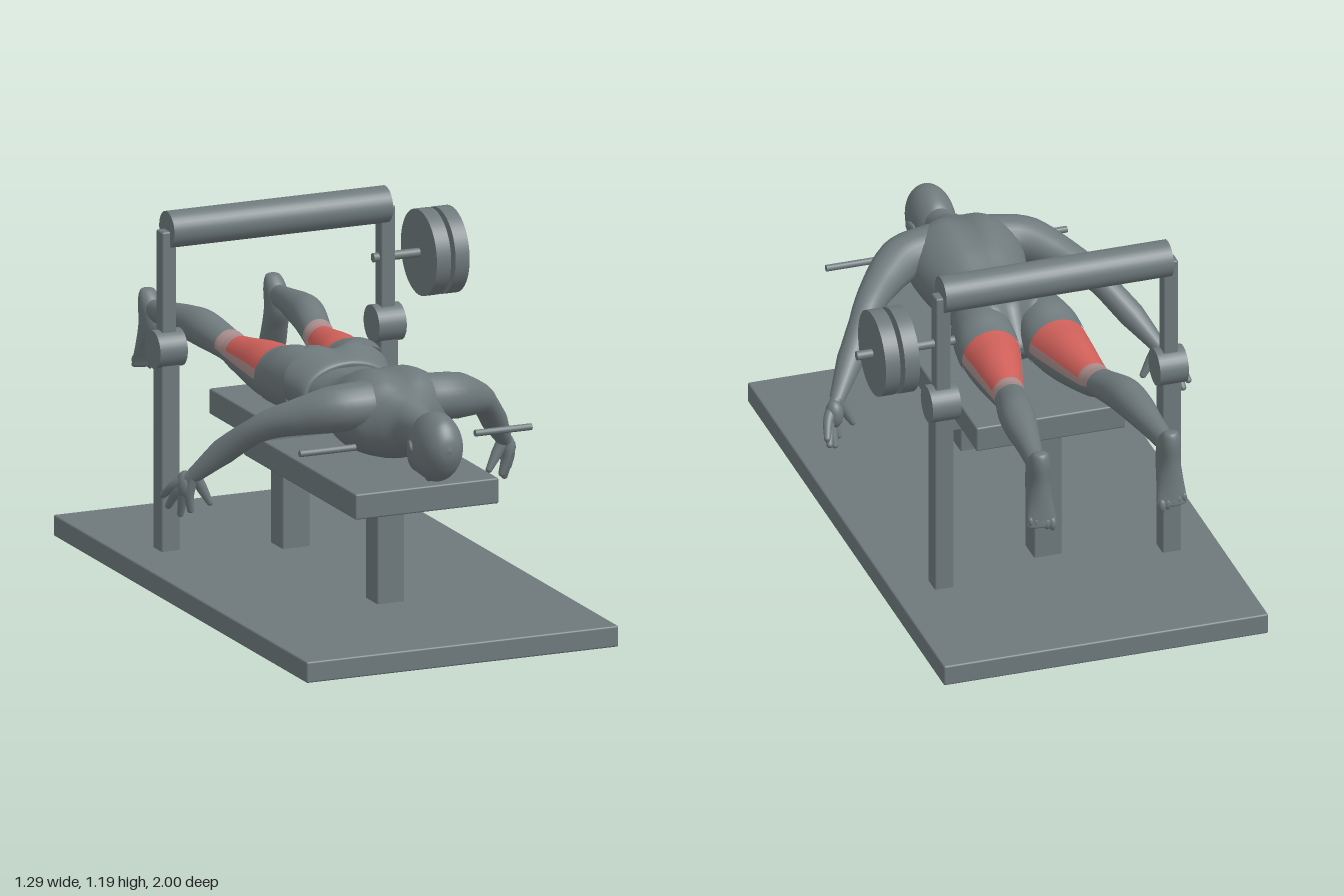
import * as THREE from 'three';
import { RoundedBoxGeometry } from 'three/addons/geometries/RoundedBoxGeometry.js';

const mat = (name, color) => Object.assign(new THREE.MeshStandardMaterial({ color }), { name });
const V = (x, y, z) => new THREE.Vector3(x, y, z);

export function createModel() {
  const grey = mat('slate grey', 0x6e797c);
  const red = mat('muscle red', 0xd0605a);
  const pink = mat('tendon pink', 0xa98c8b);
  const model = new THREE.Group();

  const add = (parent, name, geo, m = grey, pos) => {
    const mesh = new THREE.Mesh(geo, m);
    mesh.name = name;
    if (pos) mesh.position.set(...pos);
    parent.add(mesh);
    return mesh;
  };
  // Box from its x, y and z ranges
  const box = (name, x0, x1, y0, y1, z0, z1, r = 0.006) =>
    add(model, name, new RoundedBoxGeometry(x1 - x0, y1 - y0, z1 - z0, 2, r), grey,
      [(x0 + x1) / 2, (y0 + y1) / 2, (z0 + z1) / 2]);
  // Cylinder lying along x
  const bar = (name, x0, x1, y, z, r, seg = 32) =>
    add(model, name, new THREE.CylinderGeometry(r, r, x1 - x0, seg).rotateZ(Math.PI / 2), grey,
      [(x0 + x1) / 2, y, z]);

  // Smooth skin through sections [x, y, z, radius across, radius deep, groove],
  // running towards -z (or towards -y when down is set)
  function loft(secs, o = {}) {
    const { a0 = 0, a1 = Math.PI * 2, i0 = 0, i1 = secs.length - 1, grow = 0, down = false } = o;
    const path = new THREE.CatmullRomCurve3(secs.map(s => V(s[0], s[1], s[2])), false, 'catmullrom', 0.5);
    const size = new THREE.CatmullRomCurve3(secs.map(s => V(s[3], s[4], s[5] || 0)), false, 'catmullrom', 0.5);
    const closed = a1 - a0 > 6.28, seg = closed ? 48 : 20, cols = closed ? seg : seg + 1;
    const rows = (i1 - i0) * 6, pos = [], idx = [];
    for (let i = 0; i <= rows; i++) {
      const t = (i0 + i / 6) / (secs.length - 1);
      const c = path.getPoint(t), r = size.getPoint(t);
      for (let j = 0; j < cols; j++) {
        const a = a0 + (a1 - a0) * j / seg;
        const u = (r.x + grow) * Math.cos(a);
        let v = (r.y + grow) * Math.sin(a);
        if (Math.sin(a) > 0) v -= r.z * Math.exp(-((u / 0.04) ** 2));
        if (down) pos.push(c.x + u, c.y, c.z - v);
        else pos.push(c.x + u, c.y + v, c.z);
      }
    }
    for (let i = 0; i < rows; i++) for (let j = 0; j < seg; j++) {
      const k = (j + 1) % cols, a = i * cols + j, b = i * cols + k;
      idx.push(a, a + cols, b, b, a + cols, b + cols);
    }
    const g = new THREE.BufferGeometry();
    g.setAttribute('position', new THREE.Float32BufferAttribute(pos, 3));
    g.setIndex(idx);
    g.computeVertexNormals();
    return g;
  }

  // Tube with a radius that changes along its path
  function limb(points, radii, seg = 18) {
    const curve = new THREE.CatmullRomCurve3(points), rows = 30;
    const g = new THREE.TubeGeometry(curve, rows, 1, seg);
    const p = g.attributes.position, v = V(0, 0, 0);
    for (let i = 0; i < p.count; i++) {
      const u = Math.floor(i / (seg + 1)) / rows, f = u * (radii.length - 1);
      const k = Math.min(Math.floor(f), radii.length - 2);
      const r = THREE.MathUtils.lerp(radii[k], radii[k + 1], f - k), c = curve.getPointAt(u);
      v.fromBufferAttribute(p, i).sub(c).multiplyScalar(r).add(c);
      p.setXYZ(i, v.x, v.y, v.z);
    }
    return g;
  }
  const ball = (parent, name, x, y, z, rx, ry = rx, rz = rx) =>
    add(parent, name, new THREE.SphereGeometry(1, 20, 14).scale(rx, ry, rz), grey, [x, y, z]);

  // Floor plate, bench pads and pedestals
  box('floorPlate', -0.57, 0.525, 0, 0.07, -0.98, 1);
  box('benchPad', -0.275, 0.228, 0.44, 0.525, -0.15, 0.725);
  box('hipPad', -0.275, 0.228, 0.51, 0.595, -0.42, 0.01);
  box('frontPedestal', -0.073, 0.023, 0.065, 0.45, 0.352, 0.445);
  box('rearPedestal', -0.073, 0.023, 0.065, 0.52, -0.39, -0.295);

  // Lever frame with pivots, roller and weights
  const fz = -0.455;
  for (const [side, x] of [['right', -0.409], ['left', 0.359]]) {
    box(side + 'Upright', x - 0.032, x + 0.032, 0.065, 0.735, fz - 0.035, fz + 0.035);
    bar(side + 'Pivot', x - 0.048, x + 0.048, 0.735, fz, 0.062);
    box(side + 'LeverArm', x - 0.025, x + 0.025, 0.735, 1.125, fz - 0.025, fz + 0.025);
  }
  bar('roller', -0.407, 0.36, 1.127, fz, 0.06);
  bar('weightBar', 0.315, 0.645, 0.953, fz, 0.015, 20);
  bar('innerWeight', 0.477, 0.527, 0.953, fz, 0.141, 48);
  bar('outerWeight', 0.543, 0.592, 0.953, fz, 0.141, 48);
  bar('rightHandle', -0.43, -0.235, 0.655, 0.633, 0.011, 16);
  bar('leftHandle', 0.185, 0.383, 0.655, 0.633, 0.011, 16);

  // Figure lying face down
  const body = new THREE.Group();
  body.name = 'figure';
  body.position.x = -0.025;
  model.add(body);
  // Central section from z, half width, bottom and top
  const mid = ([z, w, b, t, g]) => [0, (b + t) / 2, z, w, (t - b) / 2, g];

  add(body, 'torso', loft([
    [0.74, 0.05, 0.64, 0.755], [0.67, 0.055, 0.63, 0.765], [0.62, 0.07, 0.615, 0.79, 0.004],
    [0.575, 0.115, 0.59, 0.815, 0.01], [0.525, 0.17, 0.57, 0.845, 0.024], [0.47, 0.192, 0.56, 0.858, 0.028],
    [0.4, 0.187, 0.55, 0.852, 0.022], [0.32, 0.168, 0.545, 0.828, 0.014], [0.22, 0.146, 0.56, 0.788, 0.012],
    [0.14, 0.145, 0.585, 0.775, 0.008], [0.06, 0.15, 0.6, 0.775]].map(mid)));
  add(body, 'shortsSeat', loft([
    [0.114, 0.135, 0.6, 0.765], [0.11, 0.158, 0.592, 0.787], [0.05, 0.177, 0.592, 0.812, 0.008],
    [-0.01, 0.192, 0.595, 0.828, 0.03], [-0.06, 0.17, 0.61, 0.805, 0.06], [-0.1, 0.08, 0.65, 0.72, 0.02],
    [-0.11, 0.001, 0.68, 0.682]].map(mid)));

  // Head with ears and nose
  add(body, 'head', loft([
    [0.907, 0.001, 0.684, 0.686], [0.897, 0.036, 0.64, 0.73], [0.865, 0.064, 0.59, 0.772],
    [0.81, 0.077, 0.562, 0.79], [0.75, 0.073, 0.562, 0.778], [0.705, 0.06, 0.563, 0.745],
    [0.675, 0.042, 0.566, 0.66], [0.662, 0.001, 0.605, 0.607]].map(mid)));
  add(body, 'nose', new THREE.ConeGeometry(0.014, 0.045, 12).rotateX(Math.PI / 2), grey, [0, 0.56, 0.765]);

  for (const s of [-1, 1]) {
    const side = s < 0 ? 'right' : 'left';
    const S = (x, y, z) => V(s * x, y, z);
    ball(body, side + 'Ear', s * 0.077, 0.675, 0.765, 0.009, 0.02, 0.028).rotation.y = s * 0.3;

    // Arm hanging out and down, then the spread hand
    add(body, side + 'Arm', limb(
      [S(0.09, 0.75, 0.49), S(0.2, 0.742, 0.47), S(0.29, 0.712, 0.405), S(0.38, 0.665, 0.31),
        S(0.46, 0.58, 0.21), S(0.545, 0.47, 0.115)],
      [0.08, 0.075, 0.056, 0.042, 0.043, 0.025]));
    ball(body, side + 'Shoulder', s * 0.21, 0.735, 0.465, 0.075, 0.066, 0.07);
    ball(body, side + 'Palm', s * 0.562, 0.435, 0.09, 0.03, 0.048, 0.032);
    const wrist = S(0.543, 0.475, 0.118);
    [[0.609, 0.39, 0.02], [0.596, 0.357, 0.035], [0.568, 0.335, 0.066], [0.546, 0.352, 0.095],
      [0.49, 0.377, 0.12]].forEach((q, i) => {
      const tip = S(...q), knuckle = wrist.clone().lerp(tip, 0.5);
      if (i < 4) knuckle.x += s * 0.012;
      add(body, side + 'Finger' + (i + 1), limb([wrist, knuckle, tip], [0.02, 0.018, 0.011], 12));
      ball(body, side + 'Fingertip' + (i + 1), tip.x, tip.y, tip.z, 0.011);
    });

    // Leg from z, centre x, half width, bottom and top
    const leg = [[0.02, 0.1, 0.088, 0.605, 0.806], [-0.07, 0.108, 0.097, 0.6, 0.806],
      [-0.15, 0.113, 0.096, 0.6, 0.784], [-0.25, 0.124, 0.08, 0.605, 0.779],
      [-0.41, 0.144, 0.053, 0.64, 0.757], [-0.47, 0.155, 0.052, 0.663, 0.765],
      [-0.6, 0.182, 0.058, 0.678, 0.8], [-0.7, 0.196, 0.054, 0.685, 0.795],
      [-0.8, 0.206, 0.042, 0.69, 0.78], [-0.9, 0.217, 0.032, 0.69, 0.765], [-0.94, 0.22, 0.03, 0.69, 0.76]]
      .map(([z, x, w, b, t]) => [s * x, (b + t) / 2, z, w, (t - b) / 2]);
    add(body, side + 'Leg', loft(leg));
    add(body, side + 'ShortsLeg', loft(leg, { i1: 2, grow: 0.004 }));

    // Highlighted muscle on the back of the thigh, fading at its edges
    const top = 0.3, rim = -0.06, P = Math.PI;
    add(body, side + 'Hamstring', loft(leg, { i0: 2, i1: 4, a0: top, a1: P - top, grow: 0.002 }), red);
    add(body, side + 'HamstringOuterEdge', loft(leg, { i0: 2, i1: 4, a0: rim, a1: top, grow: 0.002 }), pink);
    add(body, side + 'HamstringInnerEdge', loft(leg, { i0: 2, i1: 4, a0: P - top, a1: P - rim, grow: 0.002 }), pink);
    add(body, side + 'HamstringTendon', loft(leg, { i0: 4, i1: 5, a0: rim, a1: P - rim, grow: 0.002 }), pink);

    // Foot pointing down, with toes
    const fx = s * 0.22;
    add(body, side + 'Foot', loft([
      [fx, 0.79, -0.968, 0.001, 0.001], [fx, 0.783, -0.966, 0.024, 0.022], [fx, 0.745, -0.95, 0.036, 0.046],
      [fx, 0.68, -0.937, 0.038, 0.054], [fx, 0.61, -0.955, 0.044, 0.036], [fx, 0.555, -0.973, 0.049, 0.02],
      [fx, 0.53, -0.98, 0.046, 0.014], [fx, 0.526, -0.981, 0.001, 0.001]], { down: true }));
    for (let i = 0; i < 5; i++) {
      const r = 0.013 - i * 0.0011;
      ball(body, side + 'Toe' + (i + 1), fx + s * (-0.035 + i * 0.0185), 0.532 + i * 0.005, -0.984, r, r * 1.8, r);
    }
  }
  return model;
}
